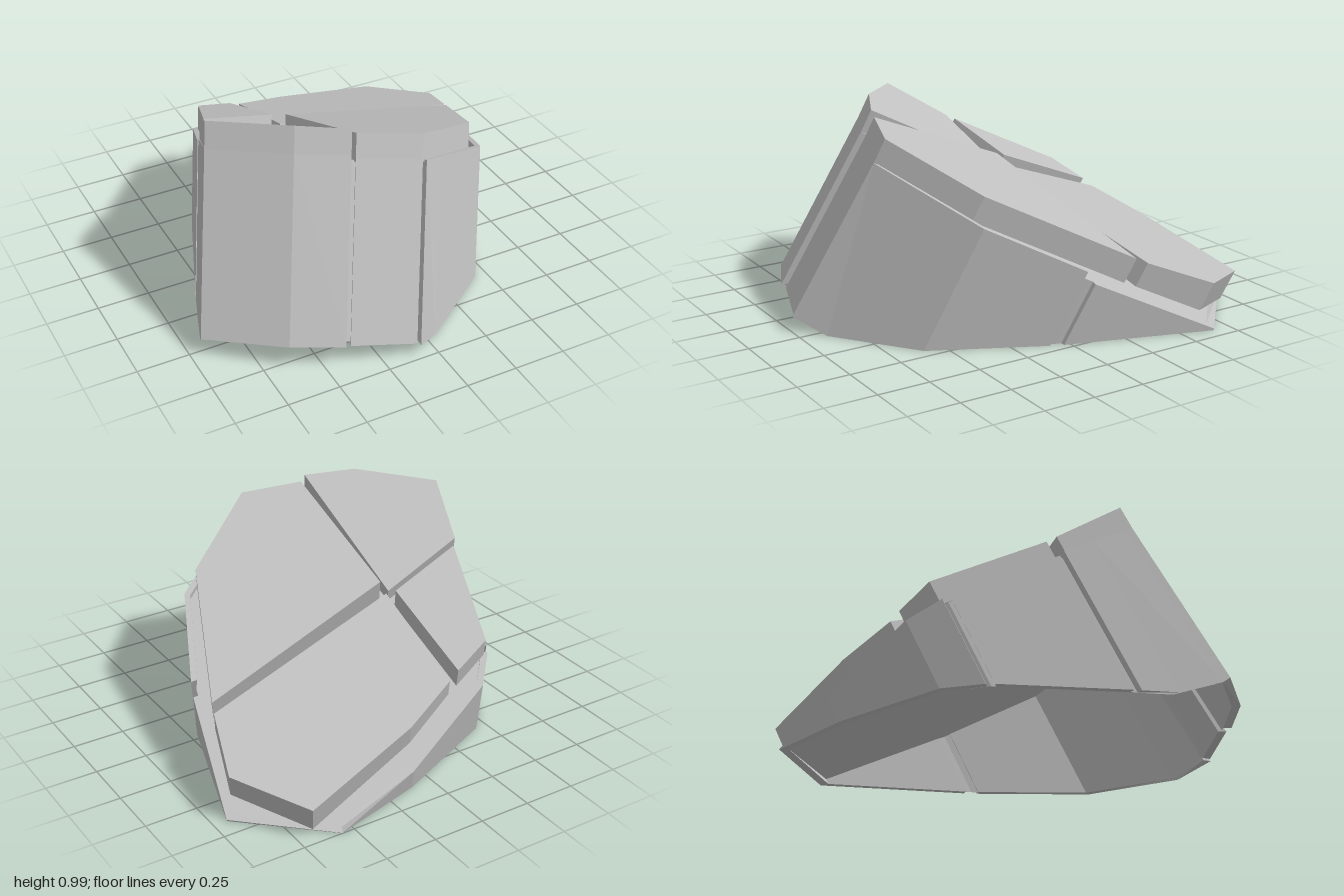
import * as THREE from 'three';

// Everything leans along one axis; a point is given by its ground footprint (u, v) and a height.
const LEAN_X = 0.243, LEAN_Z = -0.405;
const at = ([u, v], y) => [u + LEAN_X * y, y, v + LEAN_Z * y];

// Height at which the leaning line from a footprint point meets the plane y = a + b x + c z.
const layer = ([u, v], [a, b = -LEAN_X, c = -LEAN_Z]) =>
  Math.max(0.002, (a + b * u + c * v) / (1 - b * LEAN_X - c * LEAN_Z));
const onLayer = (p, plane) => at(p, layer(p, plane));
const scaled = (p, k) => [p[0] * k, p[1] * k];

// Lower edge of a wall: where it is lifted off the ground it also flares outwards.
const lowerEdge = ([u, v], h) => at(h > 0 ? [u - 0.02, v + 0.04] : [u, v], h);

export function createModel() {
  const group = new THREE.Group();
  const stone = new THREE.MeshStandardMaterial({ color: 0xc0c0c0, side: THREE.DoubleSide });
  stone.name = 'grey stone';
  stone.flatShading = true;

  // Joins an upper and a lower ring, with a top cap and an optional bottom cap.
  function loft(name, footprint, up, low, capBottom) {
    const pos = [];
    const tri = (a, b, c) => pos.push(...a, ...b, ...c);
    const n = footprint.length;
    const outline = footprint.map(([u, v]) => new THREE.Vector2(u, v));
    const flip = THREE.ShapeUtils.isClockWise(outline);
    for (let k = 0; k < n; k++) {
      const next = (k + 1) % n;
      const [i, j] = flip ? [k, next] : [next, k];
      tri(up[i], low[i], low[j]);
      tri(up[i], low[j], up[j]);
    }
    for (const f of THREE.ShapeUtils.triangulateShape(outline, [])) {
      const [a, b, c] = flip ? [f[2], f[1], f[0]] : f;
      tri(up[a], up[c], up[b]);
      if (capBottom) tri(low[a], low[b], low[c]);
    }
    const geometry = new THREE.BufferGeometry();
    geometry.setAttribute('position', new THREE.Float32BufferAttribute(pos, 3));
    geometry.computeVertexNormals();
    const mesh = new THREE.Mesh(geometry, stone);
    mesh.name = name;
    group.add(mesh);
  }

  // Thick slab of the cracked top layer
  const slab = (name, top, bottom, pts) =>
    loft(name, pts, pts.map(p => onLayer(p, top)), pts.map(p => onLayer(p, bottom)), true);

  // Side wall panel; each outer point is [u, v, height of its lower edge]
  const INNER = 0.96;
  function panel(name, top, outer) {
    const inner = outer.map(([u, v, h = 0]) => [u * INNER, v * INNER, h]).reverse();
    const pts = [...outer, ...inner];
    loft(name, pts, pts.map(p => onLayer(p, top)), pts.map(p => lowerEdge(p, p[2] ?? 0)), true);
  }

  // Top slabs, separated by the two crossing cracks and each tilted a little differently
  slab('frontLeftSlab', [0.631, -0.3475, 0.529], [0.54],
    [[-0.95, 0.515], [-0.65, 0.8], [-0.42, 0.9], [-0.367, 0.056], [-0.817, 0.156]]);
  slab('frontRightSlab', [0.691], [0.551],
    [[-0.39, 0.885], [-0.1, 0.97], [0.36, 0.62], [0.71, -0.15], [-0.34, 0.088]]);
  slab('backLeftSlab', [0.681], [0.541],
    [[-0.78, 0.114], [-0.374, 0.007], [-0.335, -0.566], [-0.55, -0.478]]);
  slab('backRightSlab', [0.631, -0.198, 0.34], [0.555],
    [[-0.347, 0.044], [-0.27, -0.594], [0.04, -0.74], [0.66, -0.92], [0.865, -0.57], [0.735, -0.21]]);

  // Side walls with narrow gaps between them; the front ones stop short of the ground
  const basePlane = [0.544, -0.28, 0.415];
  panel('frontLeftWall', [0.585], [[-0.82, 0.15], [-0.875, 0.305], [-0.935, 0.474, 0.06],
    [-0.95, 0.515, 0.085], [-0.65, 0.8, 0.12], [-0.42, 0.9, 0.11]]);
  panel('frontWall', [0.565], [[-0.39, 0.885, 0.1], [-0.1, 0.97, 0.075]]);
  panel('rightWall', [0.56], [[-0.085, 0.98, 0.07], [0.05, 0.885], [0.44, 0.6], [0.69, 0.09]]);
  panel('leftWall', basePlane, [[-0.81, 0.12], [-0.593, -0.44]]);
  panel('backWall', basePlane,
    [[-0.575, -0.475], [-0.44, -0.63], [0.106, -0.874], [0.56, -1], [0.935, -0.655], [0.715, 0.03]]);

  // Hollow core behind the cracks, open underneath
  const core = [[-0.875, 0.305, 0], [-0.95, 0.515, 0.085], [-0.65, 0.8, 0.12], [-0.42, 0.9, 0.11],
    [-0.09, 0.97, 0.075], [0.05, 0.885, 0], [0.44, 0.6, 0], [0.71, 0.06, 0], [0.935, -0.655, 0],
    [0.56, -1, 0], [0.106, -0.874, 0], [-0.44, -0.63, 0], [-0.585, -0.46, 0], [-0.82, 0.14, 0]]
    .map(p => [...scaled(p, INNER), p[2]]);
  loft('core', core, core.map(p => onLayer(p, basePlane)), core.map(p => lowerEdge(p, p[2])), false);

  return group;
}
